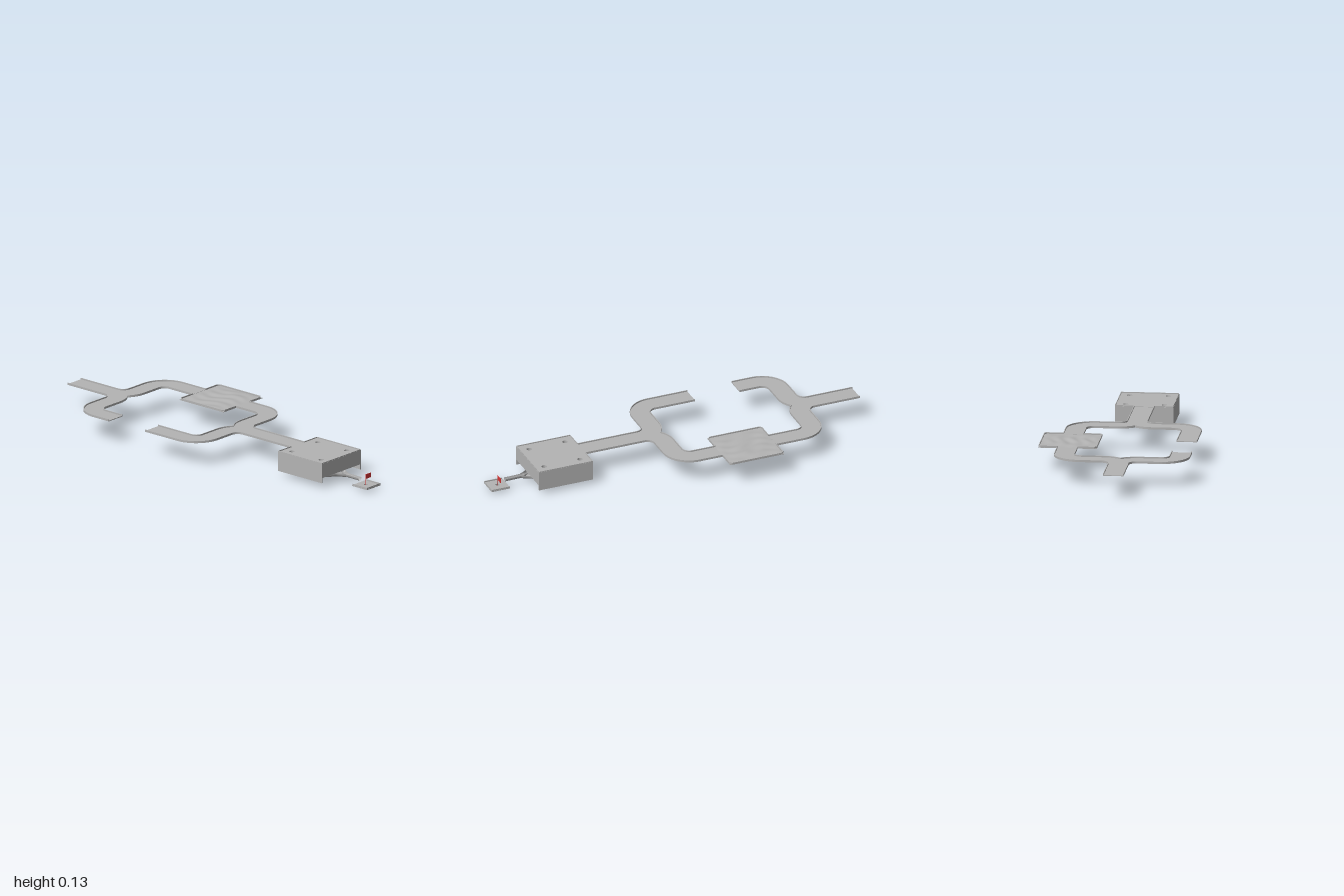
import * as THREE from 'three';

const C = 0.049;            // z of the course centreline
const HALF = 0.05;          // half width of a lane
const FLOOR = 0.124, BASE = 0.12, RAIL = 0.131;
const V = (x, y) => new THREE.Vector2(x, y);

export function createModel() {
  const course = new THREE.Group();
  course.name = 'miniGolfCourse';
  const grey = new THREE.MeshStandardMaterial({ color: 0xb4b4b4 });
  grey.name = 'courseGrey';
  const greyThin = new THREE.MeshStandardMaterial({ color: 0xb4b4b4, side: THREE.DoubleSide });
  greyThin.name = 'channelGrey';
  const red = new THREE.MeshStandardMaterial({ color: 0xd93636 });
  red.name = 'flagRed';

  const add = (name, geo, mat = grey, x = 0, y = 0, z = 0) => {
    const mesh = new THREE.Mesh(geo, mat);
    mesh.name = name;
    mesh.position.set(x, y, z);
    course.add(mesh);
    return mesh;
  };

  // Plan outline (x, z) extruded between two heights
  const slab = (name, points, bottom, top, holes = []) => {
    const shape = new THREE.Shape(points);
    for (const [x, z, r] of holes) shape.holes.push(new THREE.Path().absarc(x, z, r, 0, Math.PI * 2));
    const geo = new THREE.ExtrudeGeometry(shape, { depth: top - bottom, bevelEnabled: false, curveSegments: 12 });
    geo.rotateX(Math.PI / 2);
    return add(name, geo, grey, 0, top, 0);
  };

  // Thin rail following a plan polyline
  const rail = (name, pts, bottom = BASE, top = RAIL, t = 0.0018) => {
    const side = (sign) => pts.map((p, i) => {
      const a = pts[Math.max(i - 1, 0)], b = pts[Math.min(i + 1, pts.length - 1)];
      const d = b.clone().sub(a).normalize();
      return V(p.x - d.y * t * sign, p.y + d.x * t * sign);
    });
    slab(name, [...side(1), ...side(-1).reverse()], bottom, top);
  };

  const arc = (cx, cy, r, a0, a1, n = 12) => Array.from({ length: n + 1 }, (_, i) => {
    const a = a0 + (a1 - a0) * i / n;
    return V(cx + r * Math.cos(a), cy + r * Math.sin(a));
  });

  // Lane that forks into two curved branches
  const fork = (name, start, endBack, endFront, place) => {
    const tip = Math.atan2(-0.09, 0.107);
    const outer = (s, end) => [V(start, HALF), ...arc(-0.754, 0.09, 0.04, -Math.PI / 2, 0),
      ...arc(-0.574, 0.2, 0.14, Math.PI, Math.PI / 2), V(end, 0.34)].map((p) => place(p.x, C + s * p.y));
    const inner = (s, end) => [...arc(-0.754, 0.09, 0.14, tip, 0),
      ...arc(-0.574, 0.2, 0.04, Math.PI, Math.PI / 2), V(end, 0.24)].map((p) => place(p.x, C + s * p.y));
    const oF = outer(1, endFront), oB = outer(-1, endBack);
    const iF = inner(1, endFront), iB = inner(-1, endBack);
    const innerLine = [...iF.slice().reverse(), ...iB.slice(1)];
    slab(name + 'Floor', [...oF, ...innerLine, ...oB.slice().reverse()], BASE, FLOOR);
    rail(name + 'FrontRail', oF);
    rail(name + 'BackRail', oB);
    rail(name + 'InnerRail', innerLine);
  };
  fork('startFork', -1, -0.425, -0.468, (x, z) => V(x, z));
  fork('finishFork', -1.073, -0.452, -0.356, (x, z) => V(-0.583 - x, z));

  // Square tile corner points
  const S = 0.147;
  const square = (cx, cz, h = S) => [V(cx - h, cz - h), V(cx + h, cz - h), V(cx + h, cz + h), V(cx - h, cz + h)];

  // Bumpy tile on the back branch
  const hx = -0.278, hz = C - 0.29;
  slab('bumpyTileBase', square(hx, hz), BASE, FLOOR - 0.001);
  for (const s of [-1, 1]) {
    const w = S - 0.002;
    rail('bumpyTileRail', [V(hx - w, hz + s * HALF), V(hx - w, hz + s * (w - 0.01)), V(hx - w + 0.01, hz + s * w),
      V(hx + w - 0.01, hz + s * w), V(hx + w, hz + s * (w - 0.01)), V(hx + w, hz + s * HALF)]);
  }
  const bumps = new THREE.PlaneGeometry(0.29, 0.29, 32, 32).rotateX(-Math.PI / 2);
  const pos = bumps.attributes.position;
  for (let i = 0; i < pos.count; i++) {
    const x = pos.getX(i), z = pos.getZ(i);
    const fade = (1 - (x / 0.145) ** 4) * (1 - (z / 0.145) ** 4);
    const wave = 0.4 + 0.35 * Math.sin(z * 95 + 2 * Math.sin(x * 25)) + 0.25 * Math.sin(x * 50 + z * 30);
    const mound = 0.004 * Math.exp(-((x - 0.02) ** 2 + (z + 0.085) ** 2) / 0.0012);
    pos.setY(i, fade * (0.005 * wave + mound));
  }
  bumps.computeVertexNormals();
  add('bumpySurface', bumps, grey, hx, FLOOR, hz);

  // Hollow box tile with four holes
  const bx = 0.637, d = 0.097;
  const holes = [[bx - d, C - d, 0.0135], [bx + d, C - d, 0.0135], [bx - d, C + d, 0.0135], [bx + d, C + d, 0.0135]];
  slab('boxTop', square(bx, C), BASE, FLOOR + 0.002, holes);
  const w = S - 0.002;
  rail('boxRail', [V(bx - w, C - HALF), V(bx - w, C - w), V(bx + w, C - w), V(bx + w, C + w), V(bx - w, C + w), V(bx - w, C + HALF)]);
  for (const s of [-1, 1]) {
    add('boxSideWall', new THREE.BoxGeometry(2 * S, 0.097, 0.005), grey, bx, 0.0735, C + s * (S - 0.0025));
  }
  add('boxInletWall', new THREE.BoxGeometry(0.005, 0.097, 2 * S), grey, bx - S + 0.0025, 0.0735, C);
  add('boxOutletWall', new THREE.BoxGeometry(0.005, 0.07, 2 * S), grey, bx + S - 0.0025, 0.087, C);

  // Drop pipes under the holes
  for (const [x, z, r] of holes) {
    add('dropPipe', new THREE.CylinderGeometry(r, r, 0.07, 16, 1, true), greyThin, x, 0.087, z);
  }

  // Open half-round channel swept along a path
  const channel = (name, path, r = 0.0125) => {
    const curve = new THREE.CatmullRomCurve3(path.map((p) => new THREE.Vector3(...p)));
    const N = 40, M = 10, verts = [], index = [];
    for (let i = 0; i <= N; i++) {
      const p = curve.getPoint(i / N), t = curve.getTangent(i / N);
      const side = new THREE.Vector3(-t.z, 0, t.x).normalize();
      for (let j = 0; j <= M; j++) {
        const a = Math.PI * j / M;
        verts.push(p.x + side.x * r * Math.cos(a), p.y - r * 1.6 * Math.sin(a), p.z + side.z * r * Math.cos(a));
        if (i < N && j < M) {
          const k = i * (M + 1) + j;
          index.push(k, k + 1, k + M + 1, k + 1, k + M + 2, k + M + 1);
        }
      }
    }
    const geo = new THREE.BufferGeometry();
    geo.setAttribute('position', new THREE.Float32BufferAttribute(verts, 3));
    geo.setIndex(index);
    geo.computeVertexNormals();
    add(name, geo, greyThin);
  };
  for (const s of [-1, 1]) {
    const h = s > 0 ? 0.05 : 0.065;
    channel(s > 0 ? 'frontChannel' : 'backChannel', [
      [bx - d - 0.01, h + 0.006, C + s * d], [bx, h + 0.003, C + s * d], [bx + 0.07, h, C + s * d],
      [bx + 0.115, (h + 0.05) / 2, C + s * 0.06], [bx + 0.14, 0.049, C + s * 0.022], [0.815, 0.048, C]]);
  }
  channel('exitChannel', [[0.8, 0.048, C], [0.85, 0.047, C], [0.908, 0.046, C]], 0.0105);

  // Putting green with cup
  const gx = 0.947;
  slab('green', [V(0.9, C - 0.051), V(1, C - 0.051), V(1, C + 0.051), V(0.9, C + 0.051)], 0.013, 0.018, [[gx, C, 0.0105]]);
  rail('greenRail', [V(0.902, C + 0.049), V(0.998, C + 0.049), V(0.998, C - 0.049), V(0.902, C - 0.049)], 0.013, 0.0245);
  add('cupWall', new THREE.CylinderGeometry(0.011, 0.011, 0.016, 20, 1, true), greyThin, gx, 0.009, C);
  add('cupBottom', new THREE.CylinderGeometry(0.011, 0.011, 0.002, 20), grey, gx, 0.001, C);

  // Flag
  add('flagPole', new THREE.CylinderGeometry(0.0013, 0.0013, 0.07, 8), red, gx, 0.037, C);
  add('flag', new THREE.BoxGeometry(0.0025, 0.024, 0.038), red, gx, 0.06, C - 0.019);

  return course;
}
